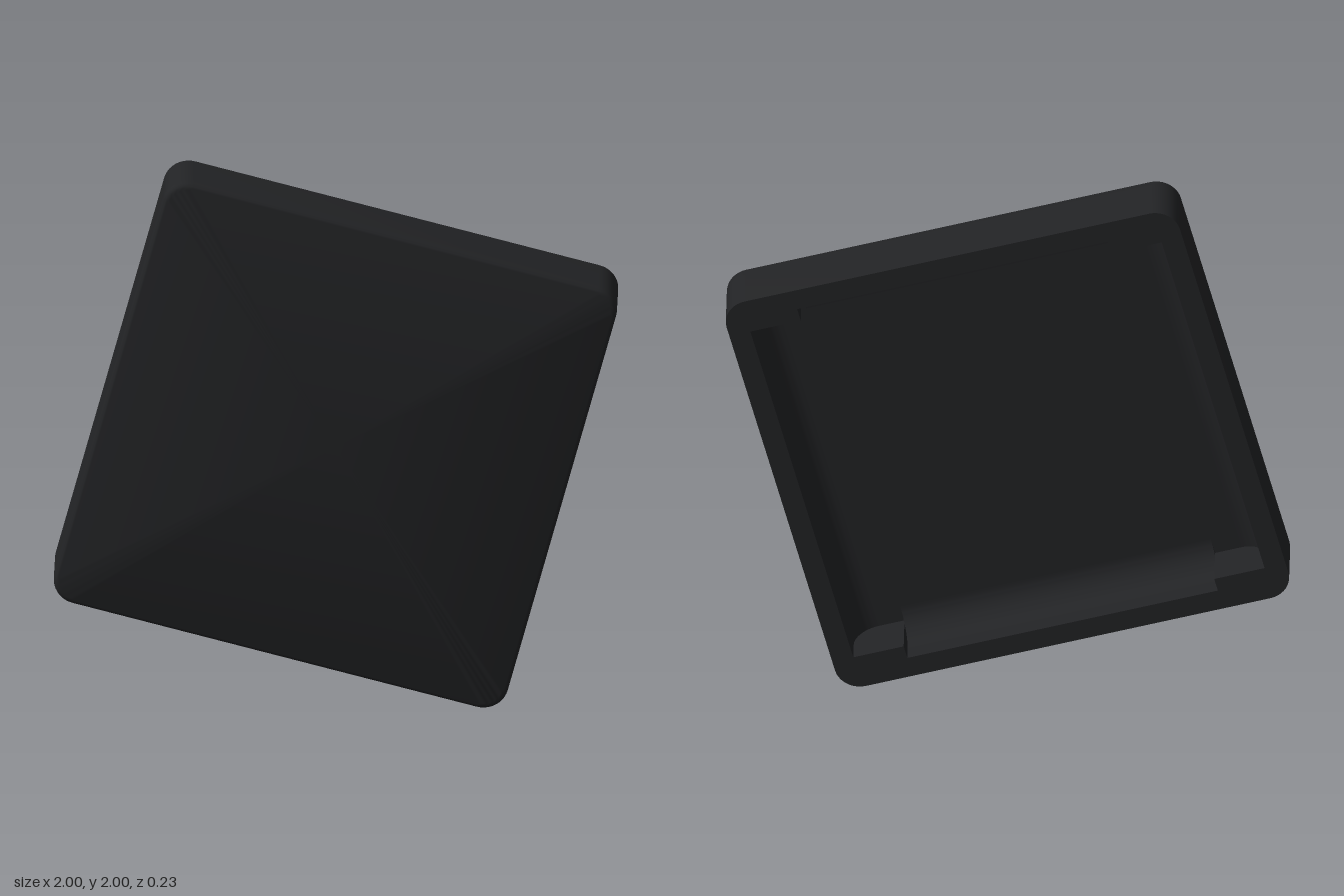
import * as THREE from 'three';
import { toCreasedNormals } from 'three/addons/utils/BufferGeometryUtils.js';

const HALF = 0.832, RADIUS = 0.09;      // outer square and its corner rounding
const BACK = -0.113, FLOOR = 0.06, FRONT = 0.113;
const OPEN = 0.755, CORNER = 0.705, RECESS = 0.57; // opening half sizes

// Points round a square with rounded corners, counter-clockwise
function roundedSquare(half, r, steps = 10) {
  const pts = [];
  for (let k = 0; k < 4; k++) {
    const mid = Math.PI / 4 + k * Math.PI / 2;
    const cx = Math.sign(Math.cos(mid)) * (half - r);
    const cy = Math.sign(Math.sin(mid)) * (half - r);
    for (let i = 0; i <= steps; i++) {
      const a = (k + i / steps) * Math.PI / 2;
      pts.push(new THREE.Vector2(cx + r * Math.cos(a), cy + r * Math.sin(a)));
    }
  }
  return pts;
}

// Skin over rounded-square rings [inset, z], closed at the front
function frontSkin(rings) {
  const pos = [], idx = [];
  let n = 0;
  for (const [inset, z] of rings) {
    const pts = roundedSquare(HALF - inset, RADIUS - inset);
    n = pts.length;
    pts.forEach((p) => pos.push(p.x, p.y, z));
  }
  for (let j = 0; j < rings.length - 1; j++) {
    for (let i = 0; i < n; i++) {
      const a = j * n + i, b = j * n + (i + 1) % n;
      idx.push(a, b, b + n, a, b + n, a + n);
    }
  }
  const last = (rings.length - 1) * n, centre = pos.length / 3;
  pos.push(0, 0, FRONT);
  for (let i = 0; i < n; i++) idx.push(last + i, last + (i + 1) % n, centre);
  const g = new THREE.BufferGeometry();
  g.setAttribute('position', new THREE.Float32BufferAttribute(pos, 3));
  g.setIndex(idx);
  return toCreasedNormals(g, 0.6);
}

// Concave fillet between floor and the +x wall, turned to the wanted side
function filletGeometry(wall, r, length, turn) {
  const s = new THREE.Shape();
  s.moveTo(0, 0);
  s.lineTo(r, 0);
  s.absarc(r, r, r, -Math.PI / 2, -Math.PI, true);
  s.lineTo(0, 0);
  const g = new THREE.ExtrudeGeometry(s, { depth: length, bevelEnabled: false, curveSegments: 10 });
  g.translate(0, 0, -length / 2);
  g.applyMatrix4(new THREE.Matrix4().makeBasis(
    new THREE.Vector3(-1, 0, 0), new THREE.Vector3(0, 0, -1), new THREE.Vector3(0, -1, 0)));
  g.translate(wall, 0, FLOOR);
  g.rotateZ(turn * Math.PI / 2);
  return toCreasedNormals(g, 0.6);
}

export function createModel() {
  const model = new THREE.Group();
  model.name = 'squareCap';
  const tilted = new THREE.Group();
  tilted.name = 'tiltedCap';
  tilted.position.y = 1;
  tilted.rotation.z = -Math.PI / 12;
  model.add(tilted);

  const material = new THREE.MeshStandardMaterial({ color: 0x222325 });
  const add = (name, geometry) => {
    const mesh = new THREE.Mesh(geometry, material);
    mesh.name = name;
    tilted.add(mesh);
  };

  // Side walls: opening is recessed between thicker corner blocks
  const outline = new THREE.Shape(roundedSquare(HALF, RADIUS));
  outline.holes.push(new THREE.Path([
    [OPEN, CORNER], [RECESS, CORNER], [RECESS, OPEN], [-RECESS, OPEN], [-RECESS, CORNER], [-OPEN, CORNER],
    [-OPEN, -CORNER], [-RECESS, -CORNER], [-RECESS, -OPEN], [RECESS, -OPEN], [RECESS, -CORNER], [OPEN, -CORNER],
  ].map(([x, y]) => new THREE.Vector2(x, y))));
  const walls = new THREE.ExtrudeGeometry(outline, { depth: FLOOR - BACK, bevelEnabled: false });
  walls.translate(0, 0, BACK);
  add('sideWalls', toCreasedNormals(walls, 0.6));

  // Front face with a small rounded edge
  const rings = [[0, FLOOR]];
  const bevel = 0.022;
  for (let i = 0; i <= 5; i++) {
    const a = i / 5 * Math.PI / 2;
    rings.push([bevel * (1 - Math.cos(a)), FRONT - bevel * (1 - Math.sin(a))]);
  }
  add('frontFace', frontSkin(rings));

  // Inner floor, seen through the open back
  const floor = new THREE.PlaneGeometry(2 * OPEN, 2 * OPEN);
  floor.rotateY(Math.PI);
  floor.translate(0, 0, FLOOR);
  add('innerFloor', floor);

  // Rounded transitions from walls to floor
  for (let k = 0; k < 4; k++) {
    const side = k % 2 === 0;
    add(side ? 'sideFillet' : 'recessFillet',
      filletGeometry(OPEN, side ? 0.09 : 0.11, 2 * (side ? CORNER : RECESS), k));
  }
  return model;
}
